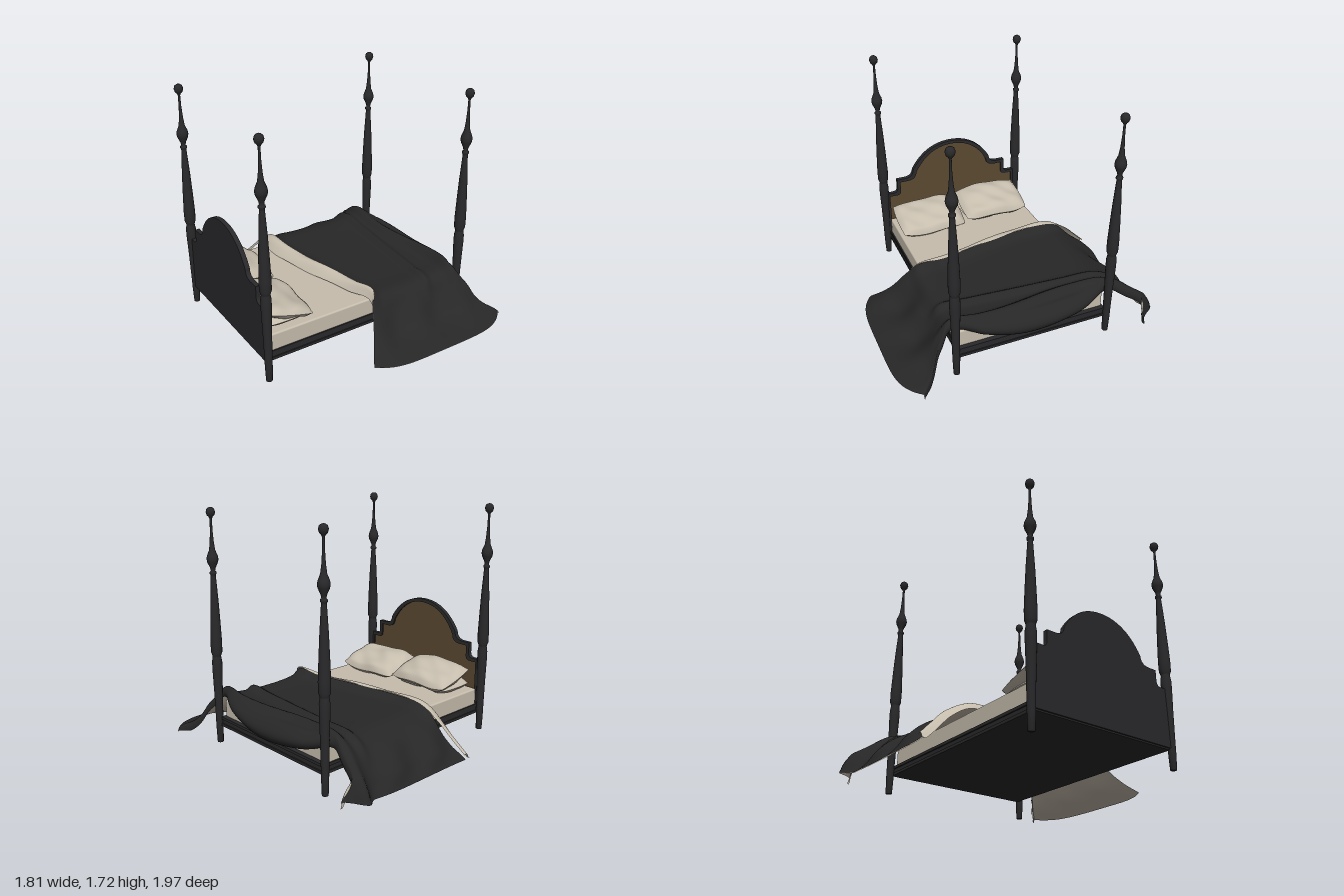
import * as THREE from 'three';
import { RoundedBoxGeometry } from 'three/addons/geometries/RoundedBoxGeometry.js';

const V = (a) => new THREE.Vector3(...a);
const material = (name, color, side = THREE.FrontSide) => {
  const m = new THREE.MeshStandardMaterial({ color, side });
  m.name = name;
  return m;
};

// Surface from fn(u, v) -> [x, y, z]; it faces du x dv unless flipped
function sheet(nu, nv, fn, flip = false) {
  const pos = [], index = [];
  for (let i = 0; i <= nu; i++)
    for (let j = 0; j <= nv; j++) {
      pos.push(...fn(i / nu, j / nv));
      if (i === nu || j === nv) continue;
      const a = i * (nv + 1) + j, b = a + nv + 1;
      if (flip) index.push(a, a + 1, b, b, a + 1, b + 1);
      else index.push(a, b, a + 1, b, b + 1, a + 1);
    }
  const g = new THREE.BufferGeometry();
  g.setAttribute('position', new THREE.Float32BufferAttribute(pos, 3));
  g.setIndex(index);
  g.computeVertexNormals();
  return g;
}

// Stepped and arched headboard outline, inset by d
function headboardOutline(d) {
  const p = new THREE.Path();
  p.moveTo(0.56 - d, 0.14 + d);
  p.lineTo(0.56 - d, 0.55 - d);
  p.lineTo(0.5 - d, 0.55 - d);
  p.quadraticCurveTo(0.467 - d, 0.55 - d, 0.467 - d, 0.59 - d);
  p.lineTo(0.467 - d, 0.663 - d);
  p.lineTo(0.4 - d, 0.663 - d);
  p.quadraticCurveTo(0.333 - d, 0.665 - d, 0.33 - d, 0.725 - d);
  p.quadraticCurveTo(0.21 - d / 2, 0.925 - d, 0, 0.925 - d);
  const half = p.getPoints(14);
  const other = half.slice(0, -1).reverse().map((q) => new THREE.Vector2(-q.x, q.y));
  return [...half, ...other];
}

export function createModel() {
  const model = new THREE.Group();
  const wood = material('black wood', 0x29292b);
  const panelWood = material('brown panel', 0x5c4932);
  const linen = material('linen', 0xc6bdad, THREE.DoubleSide);
  const cloth = material('black cloth', 0x272728);
  const add = (name, geo, mat, x = 0, y = 0, z = 0) => {
    const m = new THREE.Mesh(geo, mat);
    m.name = name;
    m.position.set(x, y, z);
    model.add(m);
    return m;
  };

  // Turned posts
  const profile = [
    [0, 0], [0.022, 0], [0.026, 0.12], [0.027, 0.2], [0.031, 0.4], [0.036, 0.56], [0.036, 0.62],
    [0.03, 0.655], [0.031, 0.665], [0.04, 0.69], [0.041, 0.76], [0.036, 0.9], [0.029, 1.06],
    [0.018, 1.24], [0.018, 1.252], [0.024, 1.258], [0.024, 1.27], [0.015, 1.278], [0.019, 1.3],
    [0.037, 1.34], [0.041, 1.362], [0.037, 1.385], [0.021, 1.425], [0.014, 1.48], [0.009, 1.56],
    [0.008, 1.64], [0.014, 1.653], [0.026, 1.665], [0.032, 1.687], [0.026, 1.708], [0.013, 1.718], [0, 1.72],
  ].map(([r, y]) => new THREE.Vector2(r, y));
  const postGeo = new THREE.LatheGeometry(profile, 20);
  for (const x of [-0.872, 0.717]) for (const z of [-0.602, 0.553]) add('post', postGeo, wood, x, 0, z);

  // Closed frame with a moulded edge of three bands
  for (const [y, h, out] of [[0.14, 0.02, 0.008], [0.163, 0.03, 0], [0.19, 0.02, 0.006]])
    add('frame', new THREE.BoxGeometry(1.575 + out * 2, h, 1.105 + out * 2), wood, -0.078, y, -0.027);

  // Mattress
  add('mattress', new RoundedBoxGeometry(1.53, 0.13, 1.1, 3, 0.012), linen, -0.083, 0.257, -0.027);

  // Headboard: backing, raised rim and brown panel
  const outer = headboardOutline(0), inner = headboardOutline(0.026);
  const rim = new THREE.Shape(outer);
  rim.holes.push(new THREE.Path(inner));
  for (const [name, shape, depth, x, mat] of [
    ['headboardBack', new THREE.Shape(outer), 0.015, -0.87, wood],
    ['headboardRim', rim, 0.018, -0.852, wood],
    ['headboardPanel', new THREE.Shape(inner), 0.006, -0.864, panelWood],
  ]) {
    const geo = new THREE.ExtrudeGeometry(shape, { depth, bevelEnabled: false });
    geo.translate(0, 0, -depth);
    add(name, geo, mat, x, 0, -0.0225).rotation.y = Math.PI / 2;
  }

  // Pillows: a flat one under a tilted one on each side
  function pillow(x, y, z, lx, t, lz, tilt, seed) {
    const g = new THREE.Group();
    g.name = 'pillow';
    for (const s of [1, -1]) {
      const geo = sheet(22, 18, (a, b) => {
        const w = a * 2 - 1, u = b * 2 - 1;
        const fill = Math.pow(Math.max(0, (1 - u ** 4) * (1 - w ** 4)), 0.6);
        const crease = 0.009 * Math.sin(6 * u + seed + 3 * w) * Math.sin(5 * w - seed);
        return [(lx / 2) * u * (1 - 0.13 * w ** 4), fill * ((s * t) / 2 + crease) + 0.008 * Math.sin(4 * w + seed),
          (lz / 2) * w * (1 - 0.04 * u * u)];
      }, s < 0);
      g.add(new THREE.Mesh(geo, linen));
    }
    g.position.set(x, y, z);
    g.rotation.z = tilt;
    model.add(g);
  }
  for (const [z, lift, seed] of [[-0.28, 0.015, 1], [0.255, -0.015, 3.4]]) {
    pillow(-0.685, 0.365, z, 0.33, 0.1, 0.5, 0, seed + 1);
    pillow(-0.655, 0.415 + lift, z, 0.365, 0.12, 0.53, -0.28, seed);
  }

  // Blanket guide curves across the bed: head edge, middle and foot edge
  const curve = (pts) => new THREE.CatmullRomCurve3(pts.map(V));
  const head = curve([
    [-0.26, 0.05, -0.95], [-0.23, 0.14, -0.86], [-0.2, 0.26, -0.74], [-0.2, 0.34, -0.6], [-0.2, 0.345, -0.35],
    [-0.14, 0.35, 0], [-0.07, 0.355, 0.35], [-0.05, 0.365, 0.55], [-0.1, 0.28, 0.63], [-0.17, 0.15, 0.74], [-0.26, 0.055, 0.88]]);
  const middle = curve([
    [0.22, 0.05, -0.945], [0.22, 0.16, -0.87], [0.22, 0.27, -0.75], [0.23, 0.335, -0.6], [0.24, 0.337, -0.35],
    [0.27, 0.337, 0], [0.3, 0.337, 0.35], [0.3, 0.335, 0.55], [0.3, 0.24, 0.64], [0.31, 0.12, 0.76], [0.31, 0.055, 0.98]]);
  const foot = curve([
    [0.82, 0.09, -0.86], [0.74, 0.22, -0.81], [0.69, 0.31, -0.73], [0.655, 0.365, -0.6], [0.7, 0.37, -0.35],
    [0.715, 0.36, 0], [0.69, 0.37, 0.35], [0.64, 0.37, 0.55], [0.7, 0.3, 0.65], [0.77, 0.18, 0.74], [0.89, 0.07, 0.84]]);
  const bump = (d, w) => Math.exp(-((d / w) ** 2));
  const blanketPoint = (u, vv) => {
    const v = Math.min(1, vv * 1.16), k = Math.max(0, vv * 1.16 - 1) / 0.16;
    const s = v * 2 - 1, w = Math.abs(s) ** 2.5;
    const m = middle.getPoint(u), e = (s < 0 ? head : foot).getPoint(u);
    let x = m.x + Math.abs(s) * (e.x - m.x), y = m.y + w * (e.y - m.y), z = m.z + Math.abs(s) ** 5 * (e.z - m.z);
    const top = THREE.MathUtils.smoothstep(y, 0.2, 0.33);
    // Gathered ridges at the foot, lifted fold at the head, soft folds on the sides
    y += top * (0.03 * bump(x - 0.46 + 0.08 * z, 0.035) + 0.045 * bump(x - 0.63 - 0.03 * Math.sin(5 * z), 0.045));
    y += 0.03 * top * bump(v, 0.06);
    const fold = Math.sin(17 * x + 5 * z) * (1 - top) * THREE.MathUtils.smoothstep(y, 0.05, 0.14);
    y += 0.014 * fold;
    z += 0.012 * fold * Math.sign(z);
    // Billowing corner at the far side
    if (z < 0) z -= 0.075 * (1 - top) * bump(x - 0.71, 0.06);
    // Foot edge turning down, deepest in the middle of the bed
    const r = Math.min(1, Math.abs(z + 0.02) / 0.62);
    x += (0.012 + 0.055 * (1 - r ** 4)) * Math.sin(Math.PI * 0.8 * k);
    y -= (0.07 + 0.08 * (1 - r * r)) * k;
    return [x, Math.max(0.047, y), z];
  };
  add('blanket', sheet(90, 70, blanketPoint), cloth);

  // Lining just beneath the blanket, facing the other way
  const lining = sheet(90, 70, blanketPoint, true);
  const p = lining.attributes.position, n = lining.attributes.normal;
  for (let i = 0; i < p.count; i++)
    p.setXYZ(i, p.getX(i) + n.getX(i) * 0.005, p.getY(i) + n.getY(i) * 0.005, p.getZ(i) + n.getZ(i) * 0.005);
  add('blanketLining', lining, linen);

  // Turned-back cuff along the head edge
  add('blanketCuff', sheet(60, 12, (a, v) => {
    const e = head.getPoint(a * 0.76);
    const w = (0.045 + 0.045 * Math.sin(Math.PI * a)) * (1 - a ** 8);
    const rise = 0.042 * Math.sin(Math.PI * (0.35 + 0.65 * v)) + 0.004 * Math.sin(14 * e.z + 5 * v);
    return [e.x + 0.012 - (w + 0.012) * v, Math.max(0.05, e.y + rise - 0.02 * v * v), e.z];
  }, true), linen);

  return model;
}
